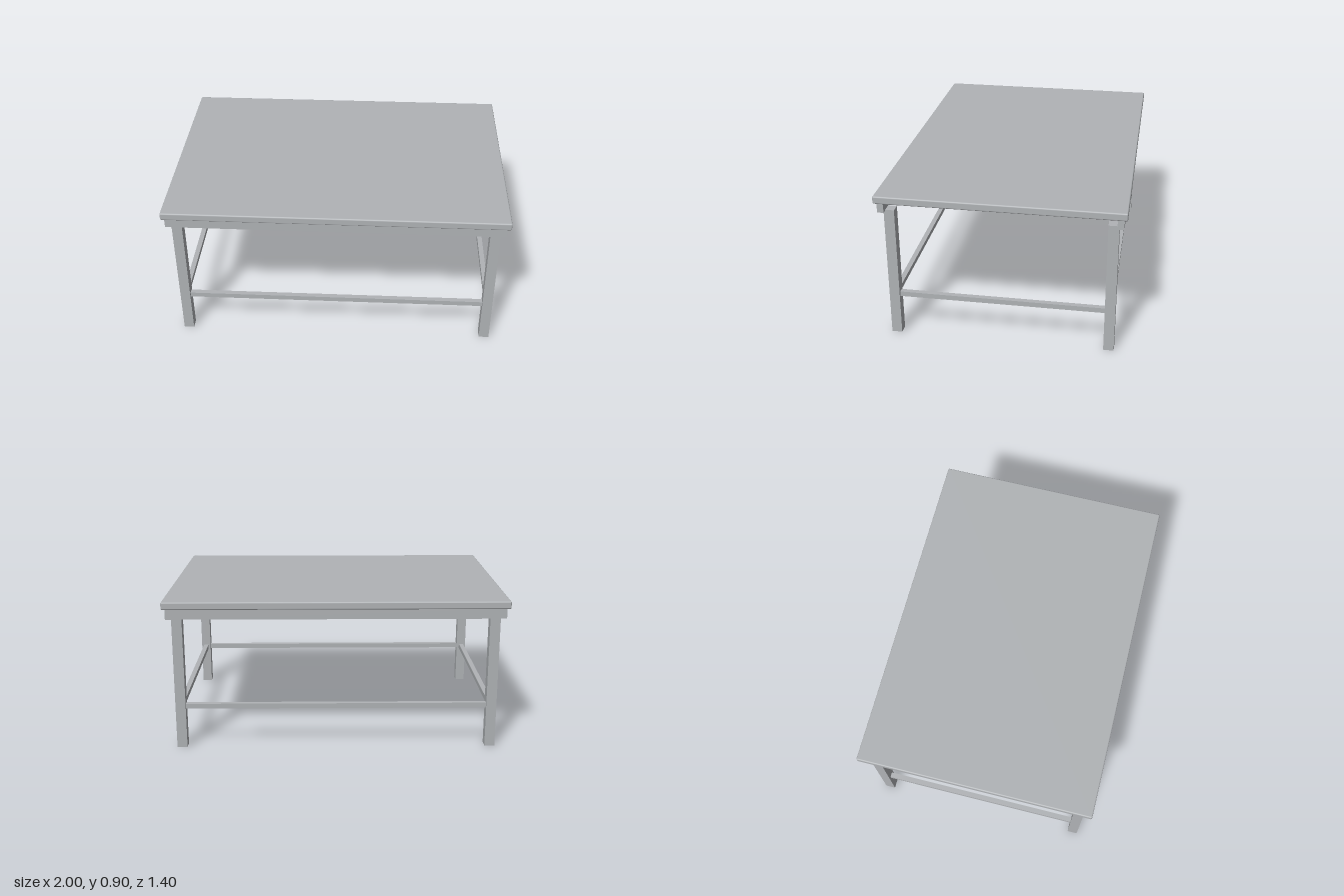
import * as THREE from 'three';
import { RoundedBoxGeometry } from 'three/addons/geometries/RoundedBoxGeometry.js';

export function createModel() {
  const table = new THREE.Group();
  table.name = 'table';
  const steel = new THREE.MeshStandardMaterial({ color: 0xb0b3b6 });
  steel.name = 'grey steel';

  const add = (name, geometry, x, y, z) => {
    const mesh = new THREE.Mesh(geometry, steel);
    mesh.name = name;
    mesh.position.set(x, y, z);
    table.add(mesh);
  };

  // Worktop with softly rounded edges
  add('tabletop', new RoundedBoxGeometry(2, 0.045, 1.4, 3, 0.008), 0, 0.8775, 0);

  const legX = 0.92, legZ = 0.625, legSize = 0.06;
  const railSize = 0.03, railY = 0.253;

  for (const side of [-1, 1]) {
    const end = side > 0 ? 'front' : 'back';
    const hand = side > 0 ? 'left' : 'right';

    // Aprons run along the front and back only
    add(`${end}Apron`, new THREE.BoxGeometry(1.96, 0.06, 0.037), 0, 0.825, side * 0.664);

    // Stretchers between the legs
    add(`${end}Stretcher`, new THREE.BoxGeometry(2 * legX - legSize, railSize, railSize),
      0, railY, side * legZ);
    add(`${hand}Stretcher`, new THREE.BoxGeometry(railSize, railSize, 2 * legZ - legSize),
      side * legX, railY, 0);

    // Square legs, just overlapping the aprons
    for (const s of [-1, 1]) {
      add(`${end}${s > 0 ? 'Left' : 'Right'}Leg`,
        new THREE.BoxGeometry(legSize, 0.8, legSize), s * legX, 0.4, side * legZ);
    }
  }
  return table;
}
